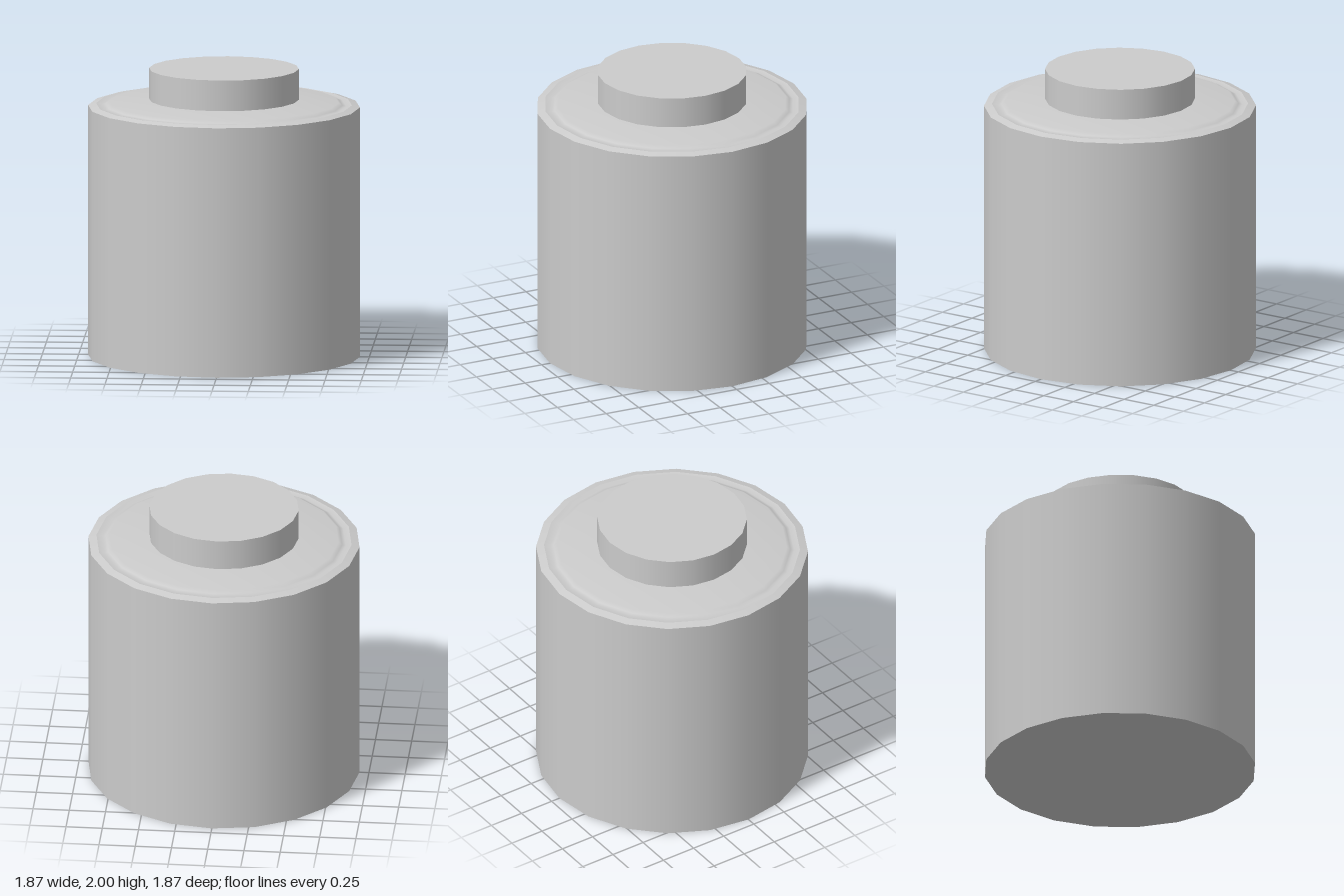
import * as THREE from 'three';

const SIDES = 20;

// One smooth surface of revolution; separate bands meet in sharp edges
function band(name, points) {
  const profile = points.map(([r, y]) => new THREE.Vector2(r, y));
  const mesh = new THREE.Mesh(
    new THREE.LatheGeometry(profile, SIDES),
    new THREE.MeshStandardMaterial({ color: 0xcccccc })
  );
  mesh.name = name;
  return mesh;
}

export function createModel() {
  const model = new THREE.Group();
  model.name = 'canister';

  // Straight-sided body
  const body = new THREE.Group();
  body.name = 'body';
  body.add(
    band('bodyBase', [[0, 0], [0.935, 0]]),
    band('bodyWall', [[0.935, 0], [0.935, 1.737]])
  );

  // Shoulder: bevelled rim, shallow groove, gently domed top
  const shoulder = new THREE.Group();
  shoulder.name = 'shoulder';
  shoulder.add(
    band('rim', [[0.935, 1.737], [0.88, 1.751]]),
    band('groovedTop', [[0.88, 1.751], [0.84, 1.744], [0.815, 1.75], [0.79, 1.768], [0.515, 1.787]])
  );

  // Short cylindrical cap
  const cap = new THREE.Group();
  cap.name = 'cap';
  cap.add(
    band('capWall', [[0.515, 1.787], [0.515, 2]]),
    band('capTop', [[0.515, 2], [0, 2]])
  );

  model.add(body, shoulder, cap);
  return model;
}
